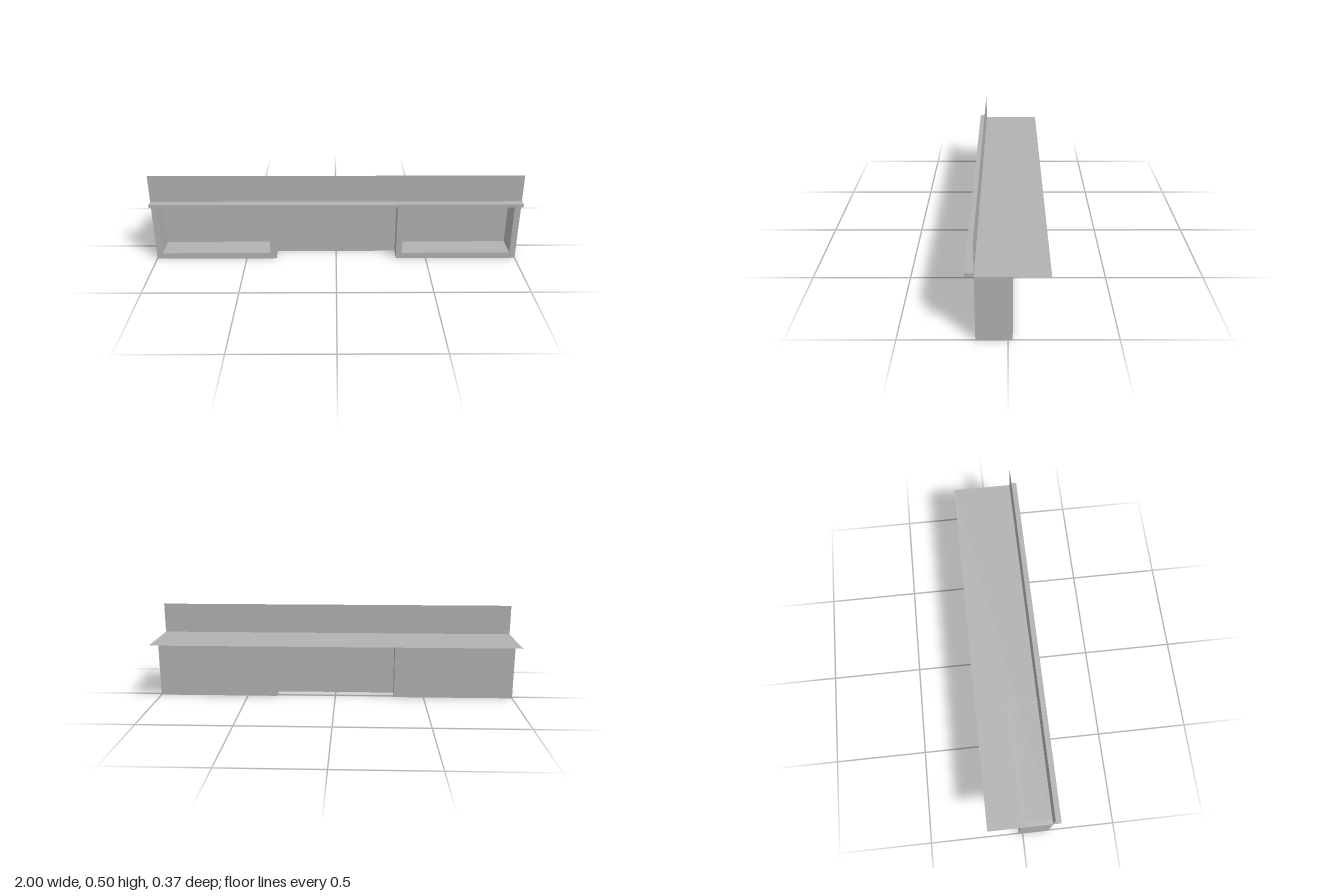
import * as THREE from 'three';

export function createModel() {
  const model = new THREE.Group();
  model.name = 'counter';

  const grey = new THREE.MeshStandardMaterial({ color: 0xb2b2b2, side: THREE.DoubleSide });
  grey.name = 'grey';

  const H = 1 / 3;          // counter height
  const W = 2 / 3;          // cabinet width
  const T = 1 / 30;         // cabinet wall thickness
  const D = 1 / 6;          // cabinet depth
  const FRONT = 0.1458;     // front face of the cabinets

  const add = (name, geometry, x, y, z, parent = model) => {
    const mesh = new THREE.Mesh(geometry, grey);
    mesh.name = name;
    mesh.position.set(x, y, z);
    parent.add(mesh);
    return mesh;
  };

  // U-shaped cabinet frame: two sides and a floor, open at the front
  const h = W / 2;
  const frame = new THREE.Shape([
    [-h, 0], [h, 0], [h, H], [h - T, H], [h - T, T], [-h + T, T], [-h + T, H], [-h, H],
  ].map(([x, y]) => new THREE.Vector2(x, y)));
  const frameGeometry = new THREE.ExtrudeGeometry(frame, { depth: D - T, bevelEnabled: false });
  const backGeometry = new THREE.BoxGeometry(W, H, T);

  for (const [side, name] of [[1, 'leftCabinet'], [-1, 'rightCabinet']]) {
    const cabinet = new THREE.Group();
    cabinet.name = name;
    cabinet.position.set(side * W, 0, FRONT - D);
    add('cabinetFrame', frameGeometry, 0, 0, T, cabinet);
    add('cabinetBack', backGeometry, 0, H / 2, T / 2, cabinet);
    model.add(cabinet);
  }

  // Thin panel between the cabinets, set halfway back
  add('middlePanel', new THREE.PlaneGeometry(W, H), 0, H / 2, FRONT - D / 2);

  // Thin worktop overhanging to the back
  add('worktop', new THREE.PlaneGeometry(2, H), 0, H, FRONT - H / 2).rotation.x = -Math.PI / 2;

  // Upright screen and narrow ledge along the front edge
  add('screen', new THREE.PlaneGeometry(2, 1 / 6), 0, H + 1 / 12, FRONT);
  add('ledge', new THREE.BoxGeometry(2, 0.0167, 0.0417), 0, H + 0.0083, FRONT + 0.0208);

  return model;
}
